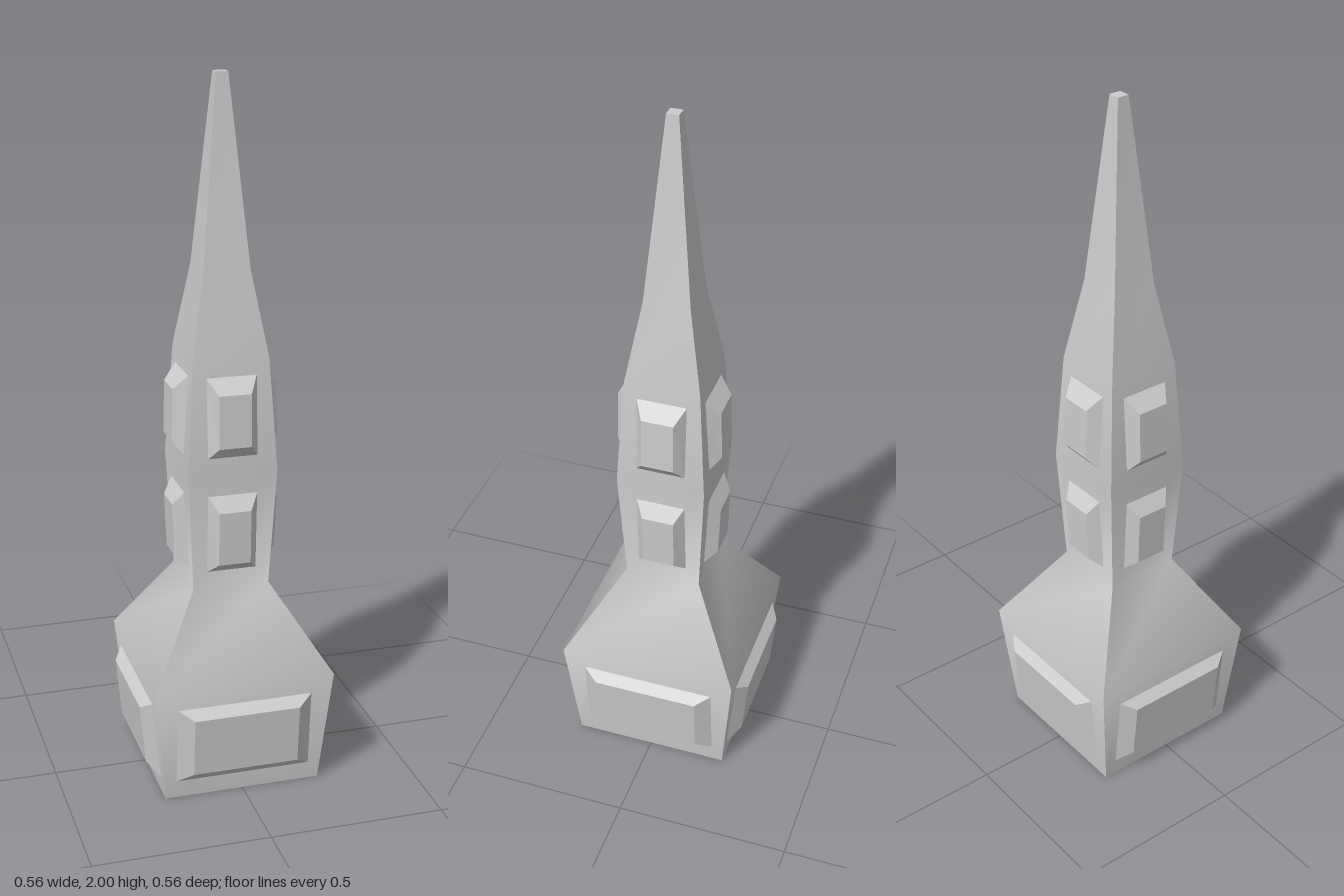
import * as THREE from 'three';

const smoothMat = new THREE.MeshStandardMaterial({ color: 0xcccccc });
const flatMat = new THREE.MeshStandardMaterial({ color: 0xcccccc, flatShading: true });

// Spire profile: [height, half width]
const PROFILE = [
  [0, 0.227], [0.34, 0.26], [0.58, 0.11], [0.92, 0.128],
  [1.24, 0.108], [1.48, 0.066], [2, 0.017],
];

function indexed(positions, index) {
  const g = new THREE.BufferGeometry();
  g.setAttribute('position', new THREE.Float32BufferAttribute(positions, 3));
  g.setIndex(index);
  g.computeVertexNormals();
  return g;
}

// One face of the square tower, smooth from bottom to top
function wallGeometry() {
  const pos = [], idx = [];
  PROFILE.forEach(([y, w], i) => {
    pos.push(-w, y, w, w, y, w);
    if (i > 0) {
      const a = (i - 1) * 2;
      idx.push(a, a + 1, a + 3, a, a + 3, a + 2);
    }
  });
  return indexed(pos, idx);
}

// Raised panel with bevelled rim; each ring is
// { w: half width, lo: [y, z], hi: [y, z] }
function panelGeometry(base, face) {
  const pos = [], idx = [0, 1, 2, 0, 2, 3].map((i) => i + 4);
  for (const { w, lo, hi } of [base, face]) {
    pos.push(-w, ...lo, w, ...lo, w, ...hi, -w, ...hi);
  }
  for (let i = 0; i < 4; i++) {
    const j = (i + 1) % 4;
    idx.push(i, j, j + 4, i, j + 4, i + 4);
  }
  return indexed(pos, idx);
}

export function createModel() {
  const group = new THREE.Group();
  const add = (name, geometry, material, angle = 0) => {
    const mesh = new THREE.Mesh(geometry, material);
    mesh.name = name;
    mesh.rotation.y = angle;
    group.add(mesh);
    return mesh;
  };

  const wall = wallGeometry();
  const panels = {
    basePanel: panelGeometry(
      { w: 0.2, lo: [0.05, 0.229], hi: [0.29, 0.252] },
      { w: 0.153, lo: [0.085, 0.265], hi: [0.26, 0.281] }),
    lowerPanel: panelGeometry(
      { w: 0.073, lo: [0.63, 0.11], hi: [0.865, 0.122] },
      { w: 0.046, lo: [0.662, 0.147], hi: [0.818, 0.153] }),
    upperPanel: panelGeometry(
      { w: 0.073, lo: [0.968, 0.122], hi: [1.2, 0.108] },
      { w: 0.046, lo: [1.005, 0.153], hi: [1.155, 0.149] }),
  };

  // Four identical sides
  for (let i = 0; i < 4; i++) {
    const angle = i * Math.PI / 2;
    add('towerWall', wall, smoothMat, angle);
    for (const [name, geometry] of Object.entries(panels)) add(name, geometry, flatMat, angle);
  }

  // Closing squares at the foot and the tip
  const cap = (name, [y, w], tilt) => {
    const mesh = add(name, new THREE.PlaneGeometry(2 * w, 2 * w), flatMat);
    mesh.rotation.x = tilt;
    mesh.position.y = y;
  };
  cap('foot', PROFILE[0], Math.PI / 2);
  cap('tip', PROFILE[PROFILE.length - 1], -Math.PI / 2);

  return group;
}
